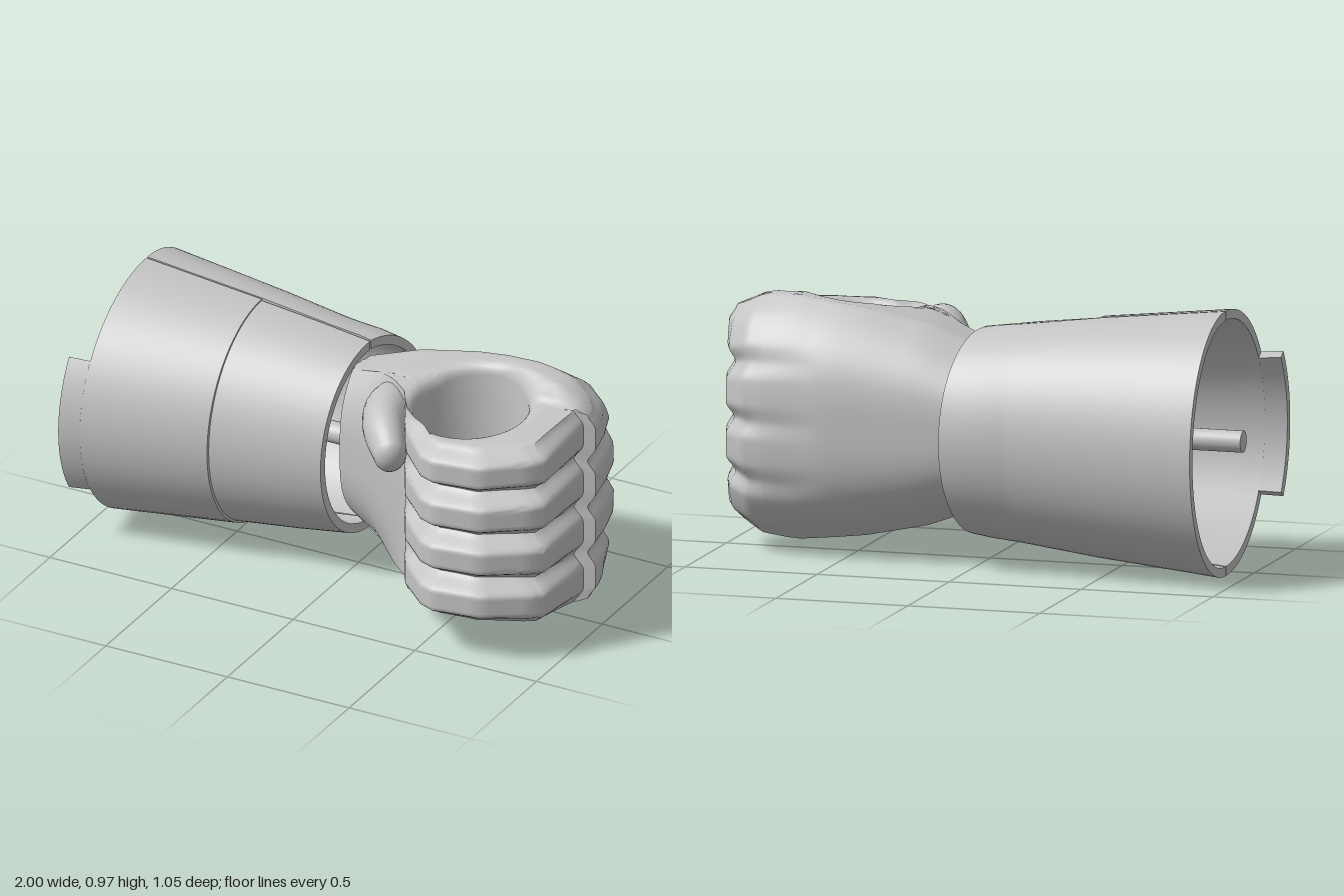
import * as THREE from 'three';
import { toCreasedNormals } from 'three/addons/utils/BufferGeometryUtils.js';

const grey = new THREE.MeshStandardMaterial({ color: 0xc4c4c4 });
grey.name = 'plain grey';

// Skin a list of closed cross-sections (arrays of [x, y, z])
function skin(name, rows, { closed = false, flip = false, crease = 0.7 } = {}) {
  const k = rows[0].length, m = rows.length, index = [];
  for (let i = 0; i < (closed ? m : m - 1); i++) {
    for (let j = 0; j < k; j++) {
      const a = i * k + j, b = i * k + (j + 1) % k;
      const c = ((i + 1) % m) * k + j, d = ((i + 1) % m) * k + (j + 1) % k;
      if (flip) index.push(a, c, b, b, c, d);
      else index.push(a, b, c, b, d, c);
    }
  }
  const g = new THREE.BufferGeometry();
  g.setAttribute('position', new THREE.Float32BufferAttribute(rows.flat(2), 3));
  g.setIndex(index);
  const mesh = new THREE.Mesh(toCreasedNormals(g, crease), grey);
  mesh.name = name;
  return mesh;
}

// Piecewise linear lookup
function lookup(table, x) {
  if (x <= table[0][0]) return table[0][1];
  for (let i = 1; i < table.length; i++) {
    const [x0, y0] = table[i - 1], [x1, y1] = table[i];
    if (x <= x1) return y0 + (y1 - y0) * (x - x0) / (x1 - x0);
  }
  return table[table.length - 1][1];
}

// Half-elliptical arm shell; stations are [x, depth, half height], side is -1 back, +1 front
function shell(name, stations, side, { from = 0, to = Math.PI, slant = 0, wall = 0.035 } = {}) {
  const row = (a, t) => {
    const at = ([x, rz, ry], i, inset) => [
      x + (i === stations.length - 1 ? slant * Math.sin(a) : 0),
      0.492 + (ry - inset) * Math.cos(a),
      -0.09 + side * (0.004 + (rz - inset) * Math.sin(a)),
    ];
    const outer = stations.map((s, i) => at(s, i, (wall - t) / 2));
    const inner = stations.map((s, i) => at(s, i, (wall + t) / 2)).reverse();
    return [...outer, ...inner];
  };
  const rows = [row(from, 0)], n = 40;
  for (let i = 0; i <= n; i++) rows.push(row(from + (to - from) * i / n, wall));
  rows.push(row(to, 0));
  return skin(name, rows, { flip: side > 0, crease: 0.5 });
}

// Fist: a ring around the round grip hole, grooved between the four fingers
function buildFist() {
  const cx = 0.555, cz = 0.175, hole = 0.21, midY = 0.505, rim = 0.045;
  // Outline seen from above: x, z, finger groove depth
  const outline = [
    [-0.02, 0.11, 0], [-0.03, -0.1, 0], [-0.01, -0.31, 0], [0.25, -0.315, 0], [0.55, -0.32, 0],
    [0.78, -0.3, 0.012], [0.86, -0.28, 0.025], [0.94, -0.2, 0.035], [0.975, -0.08, 0.03],
    [1.0, 0.05, 0.03], [0.958, 0.066, 0.035], [0.952, 0.34, 0.06], [0.92, 0.38, 0.07],
    [0.76, 0.495, 0.075], [0.58, 0.522, 0.075], [0.52, 0.5, 0.075], [0.45, 0.43, 0.06],
    [0.39, 0.37, 0.035], [0.355, 0.31, 0.01], [0.33, 0.26, 0], [0.3, 0.21, 0], [0.13, 0.155, 0],
  ];
  const byX = [[-0.02, 0.29], [0.2, 0.37], [0.43, 0.418], [0.7, 0.45], [0.85, 0.438], [0.95, 0.395], [1, 0.375]];
  const byZ = [[-0.1, 0.45], [0.05, 0.405], [0.07, 0.39], [0.5, 0.35]];
  const height = (x, z) => Math.min(lookup(byX, x), lookup(byZ, z));
  const rows = [], sub = 5, wallSteps = 80, faceSteps = 9;

  outline.forEach((p, i) => {
    const q = outline[(i + 1) % outline.length];
    for (let j = 0; j < sub; j++) {
      const [x, z, groove] = p.map((v, n) => v + (q[n] - v) * j / sub);
      const r = Math.hypot(x - cx, z - cz), dx = (x - cx) / r, dz = (z - cz) / r;
      const ix = cx + dx * hole, iz = cz + dz * hole;
      // Rounding of the back of the hand and of the palm
      const back = 0.2 * Math.min(1, Math.max(0, -z / 0.3));
      const palm = x < 0.3 && z > 0 ? 0.1 * Math.min(1, (0.3 - x) / 0.2) : 0;
      const wall = s => {
        const w = Math.abs(s) === 1 ? 1 : 2 * (((s + 1) * 2) % 1) - 1;
        const g = groove * THREE.MathUtils.smoothstep(Math.abs(w), 0.4, 1.04), k = Math.abs(s) ** 3;
        return [x - dx * g, midY + s * height(x, z), z - dz * g + (back - palm) * k];
      };
      const face = s => {
        const [ex, , ez] = wall(s), out = [];
        for (let n = 0; n < faceSteps; n++) {
          const t = (n / faceSteps) ** 2;
          // Rounded rim of the grip hole
          const u = Math.max(0, rim - t * Math.hypot(ex - ix, ez - iz));
          const h = height(ix + (x - ix) * t, iz + (z - iz) * t) - rim + Math.sqrt(rim * rim - u * u);
          out.push([ix + (ex - ix) * t, midY + s * h, iz + (ez - iz) * t]);
        }
        return out;
      };
      const side = [];
      for (let n = 0; n <= wallSteps; n++) side.push(wall(-1 + 2 * n / wallSteps));
      rows.push([...face(-1), ...side, ...face(1).reverse()]);
    }
  });
  return skin('fist', rows, { closed: true, crease: 0.9 });
}

// Thumb: tapered sweep bending towards the fingertips
function buildThumb() {
  const path = new THREE.CatmullRomCurve3([
    [0.19, 0.69, 0.04], [0.23, 0.745, 0.19], [0.28, 0.77, 0.32], [0.355, 0.735, 0.42],
  ].map(p => new THREE.Vector3(...p)));
  const radius = [[0, 0.105], [0.35, 0.1], [0.65, 0.08], [0.85, 0.07], [1, 0.06]];
  const n = 24, k = 24, rows = [], up = new THREE.Vector3(0, 1, 0);
  const ring = (c, t, r) => {
    const side = new THREE.Vector3().crossVectors(up, t).normalize();
    const top = new THREE.Vector3().crossVectors(t, side);
    rows.push(Array.from({ length: k }, (_, j) => {
      const a = j / k * Math.PI * 2;
      return c.clone().addScaledVector(side, r * Math.cos(a)).addScaledVector(top, 1.25 * r * Math.sin(a)).toArray();
    }));
  };
  for (let i = 0; i <= n; i++) ring(path.getPoint(i / n), path.getTangent(i / n), lookup(radius, i / n));
  // Rounded tip
  const end = path.getPoint(1), dir = path.getTangent(1);
  for (let i = 1; i <= 6; i++) {
    const a = i / 6 * Math.PI / 2;
    ring(end.clone().addScaledVector(dir, 0.05 * Math.sin(a)), dir, 0.06 * Math.cos(a));
  }
  return skin('thumb', rows, { crease: 1.2 });
}

export function createModel() {
  const model = new THREE.Group();
  model.name = 'armoured fist';

  // Arm shells
  model.add(shell('backSleeve', [
    [-0.92, 0.434, 0.487], [-0.45, 0.37, 0.438], [-0.2, 0.335, 0.405],
    [-0.16, 0.331, 0.4], [-0.05, 0.336, 0.388], [0, 0.315, 0.378],
  ], -1, { slant: 0.07 }));
  model.add(shell('frontCuff', [[-0.92, 0.506, 0.487], [-0.445, 0.418, 0.438]], 1));
  model.add(shell('frontSleeve', [[-0.48, 0.41, 0.436], [-0.2, 0.368, 0.405], [0, 0.342, 0.378]], 1, { slant: -0.02 }));
  model.add(shell('cuffTab', [[-1, 0.522, 0.495], [-0.92, 0.506, 0.487]], 1, { from: 1.0, to: 2.14 }));

  // Rod along the inside of the arm
  const rod = new THREE.Mesh(new THREE.CylinderGeometry(0.04, 0.04, 1.0, 24), grey);
  rod.name = 'innerRod';
  rod.rotation.z = Math.PI / 2;
  rod.position.set(-0.47, 0.492, -0.035);
  model.add(rod);

  // Hand
  const hand = new THREE.Group();
  hand.name = 'hand';
  hand.add(buildFist(), buildThumb());
  model.add(hand);
  return model;
}
